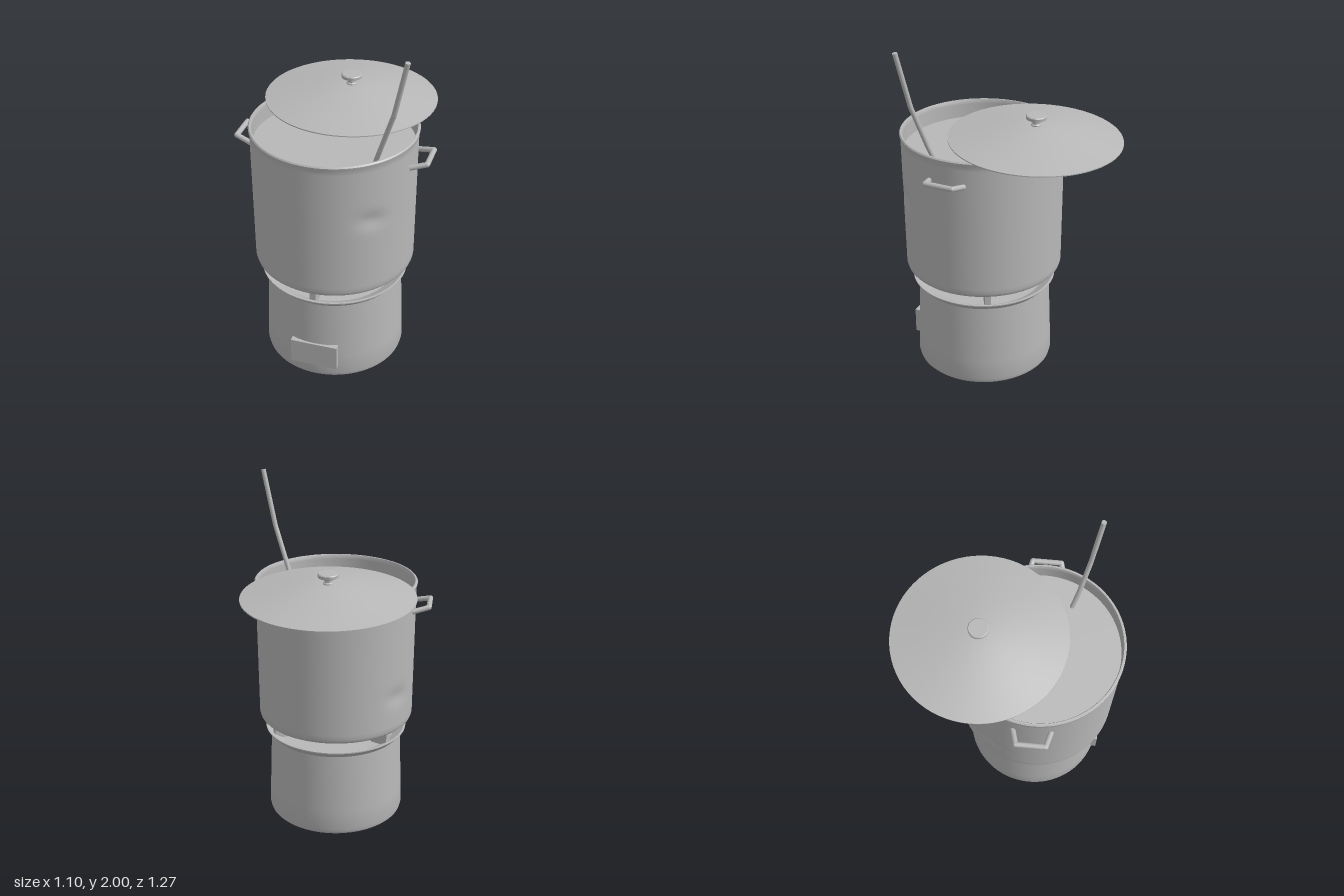
import * as THREE from 'three';
import { toCreasedNormals } from 'three/addons/utils/BufferGeometryUtils.js';

const CENTER_Z = 0.167; // shared axis of the pot and stove

export function createModel() {
  const model = new THREE.Group();
  const metal = new THREE.MeshStandardMaterial({ color: 0xb8b8b8 });
  metal.name = 'greyMetal';

  const add = (parent, name, geometry) => {
    const mesh = new THREE.Mesh(geometry, metal);
    mesh.name = name;
    parent.add(mesh);
    return mesh;
  };
  const group = (name, parent = model) => {
    const g = new THREE.Group();
    g.name = name;
    parent.add(g);
    return g;
  };
  // Profile of [radius, height] pairs turned around y, optionally reshaped by a rule
  const turned = (profile, reshape) => {
    const geo = new THREE.LatheGeometry(profile.map(([r, y]) => new THREE.Vector2(r, y)), 72);
    if (reshape) reshape(geo.attributes.position);
    return toCreasedNormals(geo, 0.5);
  };
  // Round bar through a list of points, with rounded joints
  const bar = (parent, name, points, radius) => {
    const pts = points.map((p) => new THREE.Vector3(...p));
    for (let i = 1; i < pts.length; i++) {
      const dir = pts[i].clone().sub(pts[i - 1]);
      const rod = add(parent, name, new THREE.CylinderGeometry(radius, radius, dir.length(), 14));
      rod.position.addVectors(pts[i], pts[i - 1]).multiplyScalar(0.5);
      rod.quaternion.setFromUnitVectors(new THREE.Vector3(0, 1, 0), dir.normalize());
      if (i < pts.length - 1) {
        add(parent, name + 'Joint', new THREE.SphereGeometry(radius, 14, 10)).position.copy(pts[i]);
      }
    }
  };

  // Stove body with a bevelled foot, flared rim and recessed top
  const stove = group('stove');
  stove.position.z = CENTER_Z;
  add(stove, 'stoveBody', turned([
    [0, 0], [0.382, 0], [0.394, 0.012], [0.4, 0.035], [0.396, 0.15], [0.391, 0.3],
    [0.383, 0.505], [0.416, 0.54], [0.416, 0.546], [0.405, 0.546], [0.345, 0.51], [0, 0.5],
  ]));
  add(stove, 'stoveDoor', new THREE.BoxGeometry(0.27, 0.15, 0.07)).position.set(-0.002, 0.157, 0.37);

  // Three radial blades carry the pot
  for (let i = 0; i < 3; i++) {
    const arm = group('potSupport', stove);
    arm.rotation.y = (i * Math.PI * 2) / 3;
    add(arm, 'supportBlade', new THREE.BoxGeometry(0.036, 0.13, 0.11)).position.set(-0.008, 0.565, 0.332);
  }

  // Pot shell: outer wall, rolled rim, inner wall and floor
  const pot = group('pot');
  pot.position.z = CENTER_Z;
  const wall = [];
  for (let i = 0; i <= 30; i++) wall.push([0.451 + 0.007 * (i / 30), 0.645 + 0.775 * (i / 30)]);
  const inner = wall.map(([r, y]) => [r - 0.012, y]).reverse();
  const dents = [ // angle from +z toward +x, height, depth
    [0.75, 1.09, 0.016],
    [Math.PI + 1.01, 0.84, 0.014],
  ];
  const dentWall = (pos) => {
    const v = new THREE.Vector3();
    for (let i = 0; i < pos.count; i++) {
      v.fromBufferAttribute(pos, i);
      const r = Math.hypot(v.x, v.z);
      if (r < 0.43) continue;
      let push = 0;
      for (const [angle, y, depth] of dents) {
        const dx = v.x - r * Math.sin(angle), dz = v.z - r * Math.cos(angle), dy = v.y - y;
        push += depth * Math.exp(-(dx * dx + dz * dz) / 0.005 - (dy * dy) / 0.0022);
      }
      pos.setXYZ(i, v.x * (1 - push / r), v.y, v.z * (1 - push / r));
    }
  };
  add(pot, 'potShell', turned([
    [0, 0.62], [0.438, 0.62], [0.446, 0.628], ...wall,
    [0.463, 1.432], [0.464, 1.441], [0.458, 1.448], [0.45, 1.448], [0.446, 1.44],
    ...inner, [0, 0.645],
  ], dentWall));

  // Level contents of the pot
  const contents = add(pot, 'potContents', new THREE.CircleGeometry(0.447, 72));
  contents.rotation.x = -Math.PI / 2;
  contents.position.y = 1.34;

  // Mirrored side handles, rising slightly outward
  for (const s of [-1, 1]) {
    const handle = group(s > 0 ? 'leftHandle' : 'rightHandle', pot);
    bar(handle, 'handleBar', [
      [s * 0.445, 1.305, -0.103], [s * 0.535, 1.327, -0.08],
      [s * 0.535, 1.327, 0.08], [s * 0.445, 1.305, 0.103],
    ], 0.015);
  }

  // Ladle handle leaning out of the pot
  bar(group('ladle'), 'ladleHandle', [
    [0.268, 1.32, 0.322], [0.308, 1.44, 0.352], [0.388, 1.68, 0.398], [0.459, 1.997, 0.437],
  ], 0.0138);

  // Thin shallow lid pushed back and tipped slightly rearward
  const lid = group('lid');
  lid.position.set(0, 1.452, -0.155);
  lid.rotation.x = -0.027;
  const dome = [[0.482, 0], [0.4, 0.016], [0.3, 0.036], [0.2, 0.055], [0.1, 0.07], [0.05, 0.074], [0, 0.075]];
  const under = dome.map(([r, y]) => [r, y - 0.006]).reverse();
  add(lid, 'lidDome', turned([...under, ...dome]));
  add(lid, 'lidKnob', turned([
    [0.028, 0.068], [0.028, 0.08], [0.021, 0.086], [0.021, 0.1], [0.04, 0.106],
    [0.056, 0.114], [0.057, 0.13], [0.052, 0.135], [0, 0.135],
  ]));

  return model;
}
